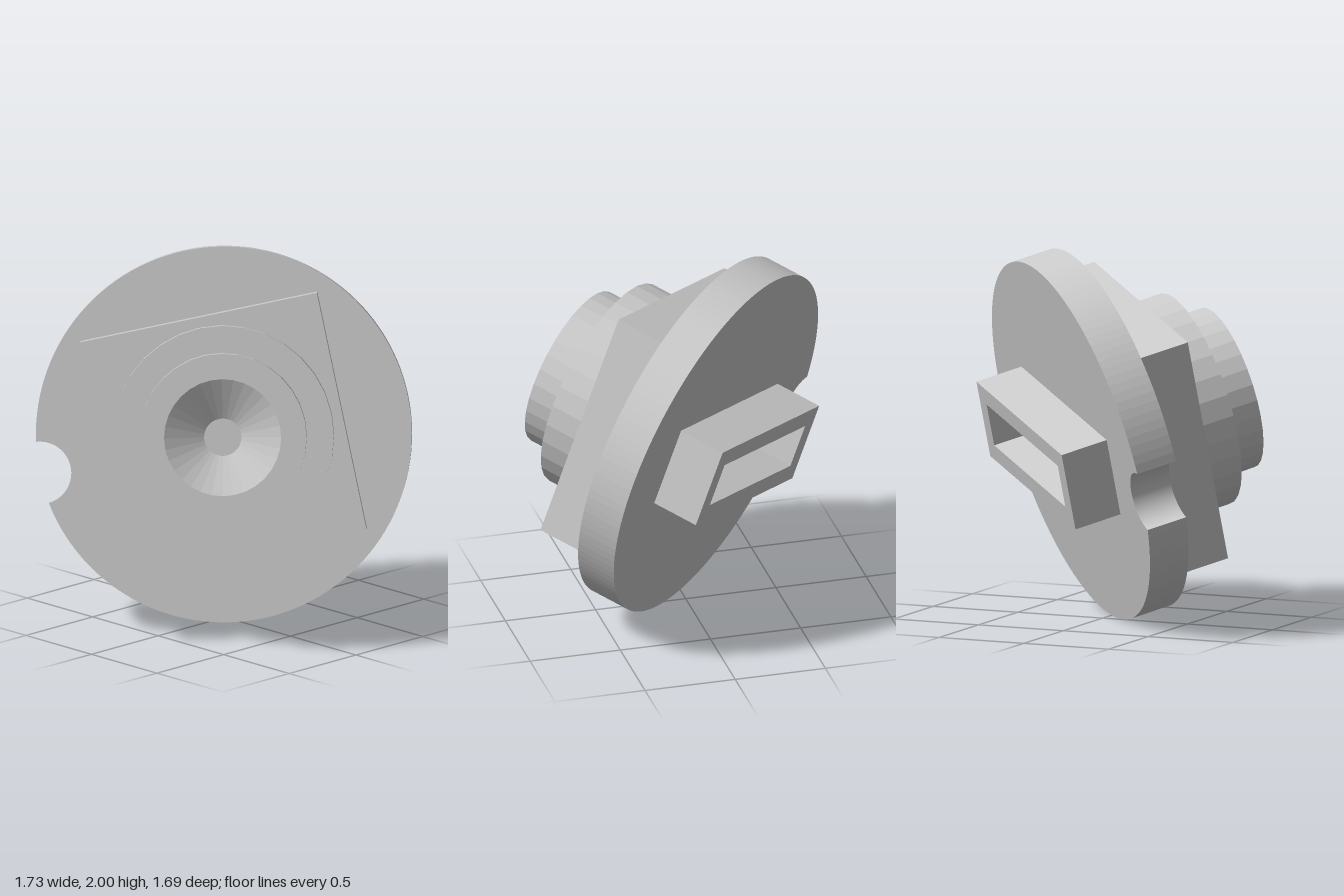
import * as THREE from 'three';

const material = new THREE.MeshStandardMaterial({ color: 0xcccccc, flatShading: true });

export function createModel() {
  const model = new THREE.Group();

  // The whole part is built along +z, then tilted as one piece
  const body = new THREE.Group();
  body.name = 'tiltedBody';
  const deg = THREE.MathUtils.degToRad;
  body.rotation.set(deg(-15), deg(45), deg(12), 'YXZ');
  body.position.set(0.022, 1.029, 0.03);
  model.add(body);

  const add = (name, geometry, z = 0) => {
    const mesh = new THREE.Mesh(geometry, material);
    mesh.name = name;
    mesh.position.z = z;
    body.add(mesh);
  };
  const extrude = (shape, depth, curveSegments = 12) =>
    new THREE.ExtrudeGeometry(shape, { depth, bevelEnabled: false, curveSegments });

  // Round flange with a half-round notch cut in its rim
  const R = 1.005, r = 0.168, thick = 0.227;
  const open = 2 * Math.asin(r / (2 * R));
  const notchEnd = Math.PI / 2 - open / 2;
  const flange = new THREE.Shape();
  flange.absarc(0, 0, R, -Math.PI + open, Math.PI - open, false);
  flange.absarc(-R, 0, r, notchEnd, -notchEnd, true);
  add('notchedFlange', extrude(flange, thick, 60), -thick);

  // Square plate on the front of the flange
  const plate = 0.305;
  add('squarePlate', new THREE.BoxGeometry(1.293, 1.293, plate), plate / 2);

  // Stepped round boss
  const step = 0.505, front = 0.7;
  add('lowerBoss',
    new THREE.CylinderGeometry(0.593, 0.593, step - plate, 32).rotateX(Math.PI / 2),
    (plate + step) / 2);

  // Upper boss with a conical dish in its face
  const profile = [[0, step], [0.449, step], [0.449, front], [0.313, front], [0.1, front - 0.11], [0, front - 0.11]]
    .map(([x, y]) => new THREE.Vector2(x, y));
  add('dishedUpperBoss', new THREE.LatheGeometry(profile, 32).rotateX(Math.PI / 2));

  // Rectangular socket on the back, open to the rear
  const rect = (path, w, h) => path.moveTo(-w / 2, -h / 2).lineTo(w / 2, -h / 2)
    .lineTo(w / 2, h / 2).lineTo(-w / 2, h / 2).closePath();
  const socket = rect(new THREE.Shape(), 1.18, 0.445);
  socket.holes.push(rect(new THREE.Path(), 0.985, 0.245));
  const depth = 0.265;
  add('rearSocket', extrude(socket, depth), -thick - depth);

  return model;
}
